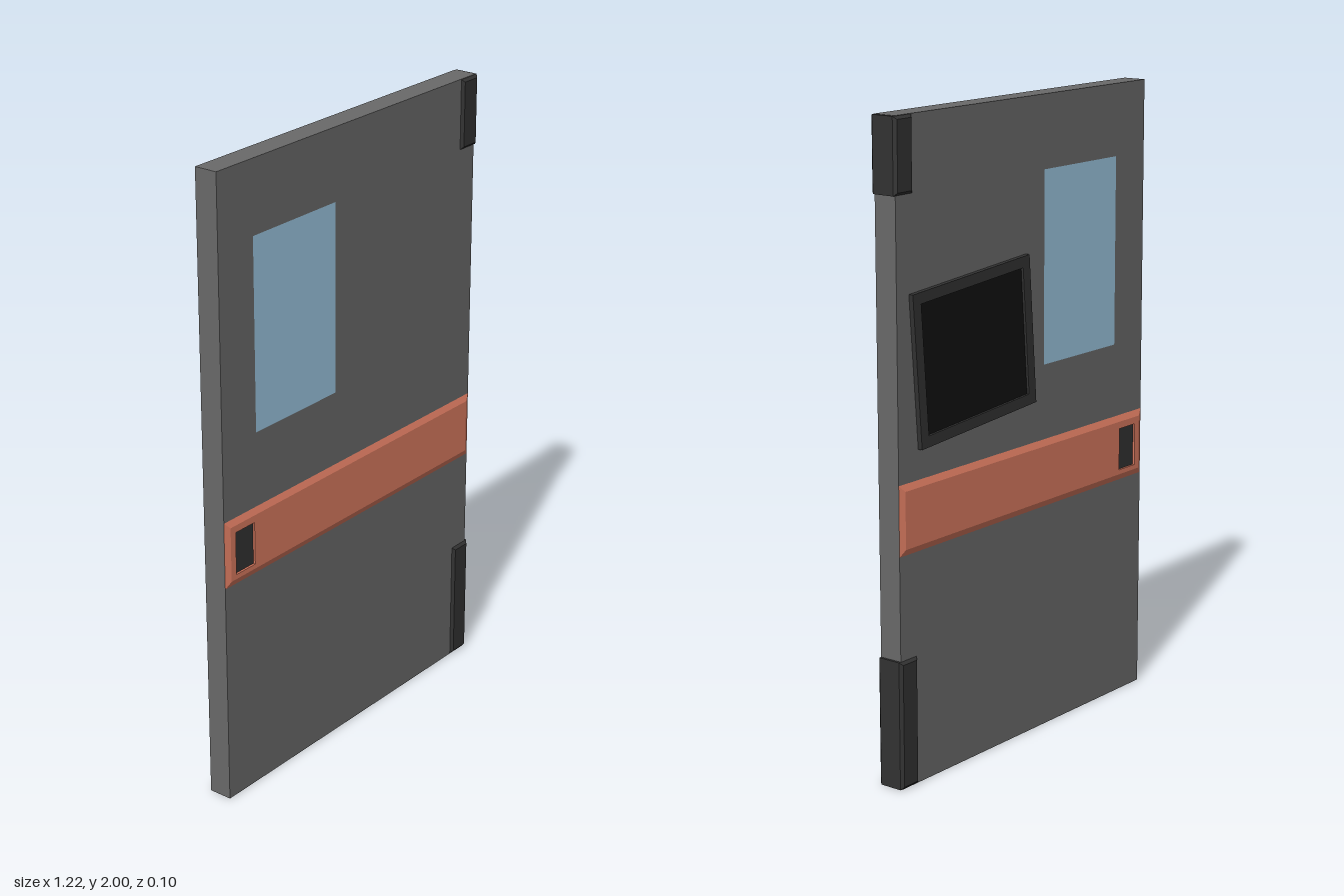
import * as THREE from 'three';

const mat = (color) => new THREE.MeshStandardMaterial({ color, flatShading: true });
const GREY = mat(0x6a6a6a), DARK = mat(0x333333), ORANGE = mat(0xd97a60);
const GLASS = mat(0x9cc6e0), SCREEN = mat(0x111111);

const BACK = -0.035, FRONT = 0.041; // door faces in z
const LEFT = -0.61, RIGHT = 0.6; // door edges in x

function add(parent, name, geometry, material, x = 0, y = 0, z = 0) {
  const mesh = new THREE.Mesh(geometry, material);
  mesh.name = name;
  mesh.position.set(x, y, z);
  parent.add(mesh);
  return mesh;
}

// Centred rectangle outline, optionally moved
function rectPoints(w, h, cx = 0, cy = 0) {
  return [[-1, -1], [1, -1], [1, 1], [-1, 1]]
    .map(([sx, sy]) => new THREE.Vector2(cx + sx * w / 2, cy + sy * h / 2));
}

function rectShape(w, h, hole) {
  const shape = new THREE.Shape(rectPoints(w, h));
  if (hole) shape.holes.push(new THREE.Path(rectPoints(...hole).reverse()));
  return shape;
}

// Four walls joining a rectangle at z0 to one at z1, facing outward when z1 > z0
function walls(a, z0, b, z1) {
  const p = [];
  for (let i = 0; i < 4; i++) {
    const j = (i + 1) % 4;
    const q = [[a[i], z0], [a[j], z0], [b[j], z1], [b[i], z1]].map(([v, z]) => [v.x, v.y, z]);
    for (const k of [0, 1, 2, 0, 2, 3]) p.push(...q[k]);
  }
  const g = new THREE.BufferGeometry();
  g.setAttribute('position', new THREE.Float32BufferAttribute(p, 3));
  g.computeVertexNormals();
  return g;
}

// Bevelled coloured band with a recessed grip, built facing +z
function makeBand(name, gripX) {
  const band = new THREE.Group();
  band.name = name;
  const w = RIGHT - LEFT, h = 0.215, inset = 0.02, depth = 0.008;
  const grip = [0.085, 0.137, gripX, -0.004];
  const gripEdge = rectPoints(...grip);
  add(band, 'bandBevel', walls(rectPoints(w, h), 0, rectPoints(w - 2 * inset, h - 2 * inset), depth), ORANGE);
  add(band, 'bandFace', new THREE.ShapeGeometry(rectShape(w - 2 * inset, h - 2 * inset, grip)), ORANGE, 0, 0, depth);
  add(band, 'gripWalls', walls(gripEdge, depth, gripEdge, 0), ORANGE);
  add(band, 'gripPlate', new THREE.PlaneGeometry(grip[0], grip[1]), DARK, grip[2], grip[3], 0.001);
  return band;
}

// Block with chamfered front and back edges
function chamferBlock(w, h, d, b) {
  const g = new THREE.ExtrudeGeometry(rectShape(w - 2 * b, h - 2 * b), {
    depth: d - 2 * b, bevelEnabled: true, bevelSize: b, bevelThickness: b, bevelSegments: 1,
  });
  return g.translate(0, 0, -d / 2 + b);
}

export function createModel() {
  const model = new THREE.Group();
  model.name = 'door';
  const midX = (LEFT + RIGHT) / 2, thick = FRONT - BACK, midZ = (FRONT + BACK) / 2;

  // Door slab with window opening, filled flush by the pane
  const pane = { w: 0.37, h: 0.602, x: -0.275, y: 1.472 };
  const slab = rectShape(RIGHT - LEFT, 2, [pane.w, pane.h, pane.x - midX, pane.y - 1]);
  add(model, 'doorSlab', new THREE.ExtrudeGeometry(slab, { depth: thick, bevelEnabled: false }), GREY, midX, 1, BACK);
  add(model, 'windowPane', new THREE.BoxGeometry(pane.w, pane.h, thick), GLASS, pane.x, pane.y, midZ);

  // Bands on both faces, grips at the opening edge
  const front = makeBand('frontBand', -0.52);
  front.position.set(midX, 0.827, FRONT);
  const back = makeBand('backBand', 0.52);
  back.position.set(midX, 0.827, BACK);
  back.rotation.y = Math.PI;
  model.add(front, back);

  // Hinge blocks wrapped round the edge
  for (const [name, y0, y1] of [['upperHinge', 1.775, 1.999], ['lowerHinge', 0.001, 0.4]]) {
    add(model, name, chamferBlock(0.08, y1 - y0, 0.093, 0.009), DARK, 0.568, (y0 + y1) / 2, midZ);
  }

  // Tilted display on the back
  const display = new THREE.Group();
  display.name = 'display';
  const w = 0.545, h = 0.463, rim = 0.034;
  const frame = rectShape(w, h, [w - 2 * rim, h - 2 * rim]);
  add(display, 'displayFrame', new THREE.ExtrudeGeometry(frame, { depth: 0.015, bevelEnabled: false }), DARK, 0, 0, -0.015);
  add(display, 'displayScreen', new THREE.BoxGeometry(w - 2 * rim, h - 2 * rim, 0.007), SCREEN, 0, 0, -0.0035);
  display.position.set(0.257, 1.277, BACK);
  display.rotation.z = -0.075;
  model.add(display);

  return model;
}
